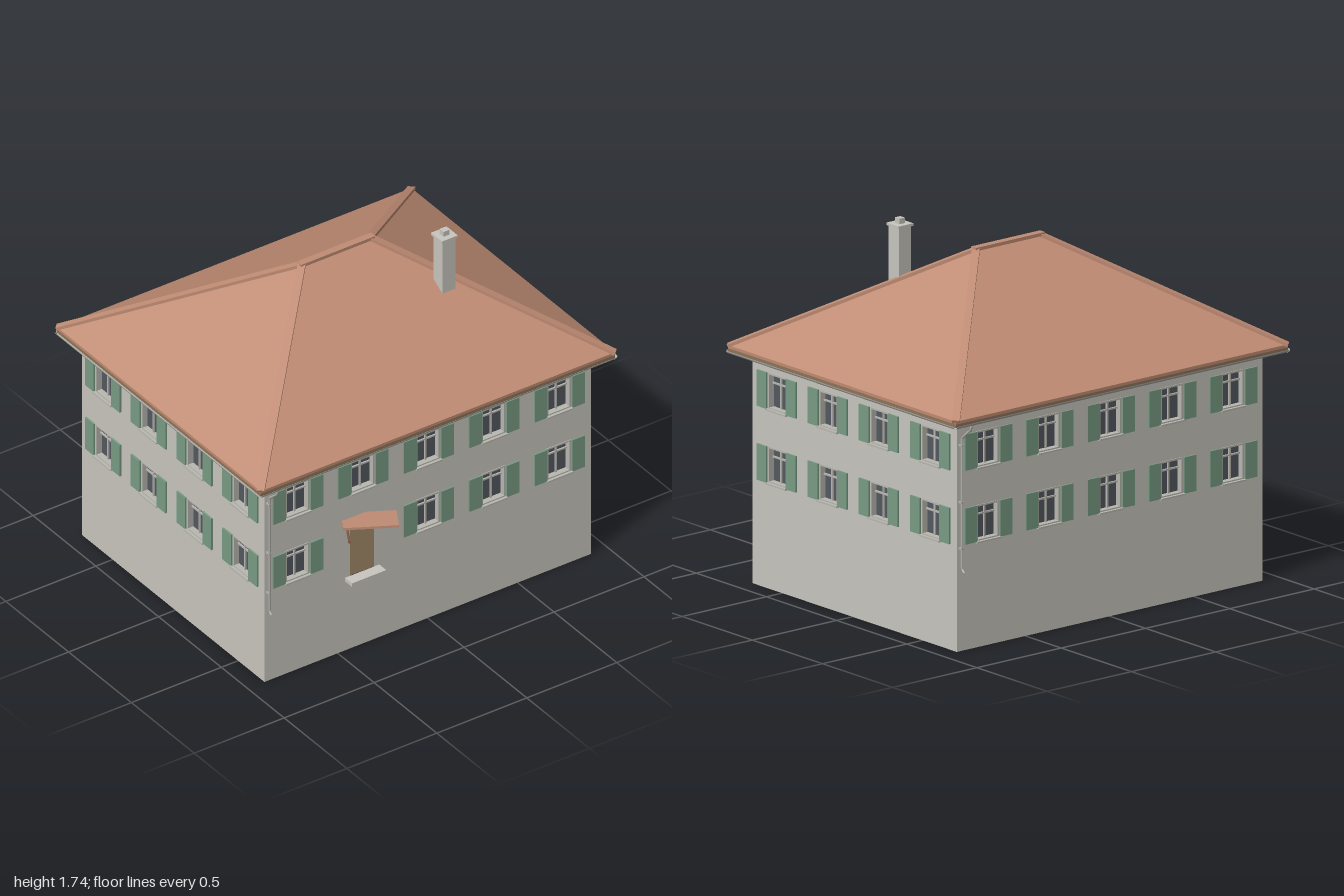
import * as THREE from 'three';

const mat = (name, color, side = THREE.FrontSide) => {
  const m = new THREE.MeshStandardMaterial({ color, side });
  m.name = name;
  return m;
};

export function createModel() {
  const wallMat = mat('plaster', 0xc8c6be, THREE.DoubleSide);
  const roofMat = mat('roof tile', 0xc08c74);
  const woodMat = mat('eave wood', 0x8f7458);
  const shutterMat = mat('green shutter', 0x789c84);
  const glassMat = mat('window glass', 0x525960, THREE.DoubleSide);
  const frameMat = mat('window frame', 0xb9b7b0);
  const doorMat = mat('door wood', 0xa58b68, THREE.DoubleSide);
  const metalMat = mat('gutter metal', 0xb4b2ac, THREE.DoubleSide);
  const bracketMat = mat('bracket wood', 0x7d5443);

  const house = new THREE.Group();
  house.name = 'house';
  const add = (parent, name, geo, material, x = 0, y = 0, z = 0) => {
    const m = new THREE.Mesh(geo, material);
    m.name = name;
    m.position.set(x, y, z);
    parent.add(m);
    return m;
  };
  const box = (parent, name, material, w, h, d, x, y, z) =>
    add(parent, name, new THREE.BoxGeometry(w, h, d), material, x, y, z);
  // square beam between two points, its top kept upwards
  const beam = (parent, name, material, a, b, w, h) => {
    const m = box(parent, name, material, w, h, a.distanceTo(b), 0, 0, 0);
    m.position.copy(a).add(b).multiplyScalar(0.5);
    m.lookAt(b);
    return m;
  };
  const V = (x, y, z) => new THREE.Vector3(x, y, z);
  const rect = (Type, x0, y0, x1, y1) => new Type([
    [x0, y0], [x1, y0], [x1, y1], [x0, y1]].map(p => new THREE.Vector2(...p)));

  const HW = 0.066, HH = 0.086;      // half window opening
  const ROWS = [0.59, 0.941];        // window centre heights
  const XF = 0.907, ZF = 0.71, ZB = -0.745, ZC = (ZF + ZB) / 2;

  // ring frame with a given border
  const ring = (w, h, t, depth) => {
    const s = rect(THREE.Shape, -w, -h, w, h);
    s.holes.push(rect(THREE.Path, -w + t, -h + t, w - t, h - t));
    return new THREE.ExtrudeGeometry(s, { depth, bevelEnabled: false });
  };
  const frameGeo = ring(HW, HH, 0.008, 0.034);

  function addWindow(parent, u, y) {
    const w = new THREE.Group();
    w.name = 'window';
    w.position.set(u, y, 0);
    parent.add(w);
    add(w, 'windowFrame', frameGeo, frameMat, 0, 0, -0.03);
    add(w, 'glass', new THREE.PlaneGeometry(2 * HW - 0.01, 2 * HH - 0.01), glassMat, 0, 0, -0.026);
    box(w, 'mullion', frameMat, 0.009, 2 * HH - 0.012, 0.008, 0, 0, -0.02);
    box(w, 'transom', frameMat, 2 * HW - 0.012, 0.008, 0.008, 0, 0.036, -0.02);
    box(w, 'sill', frameMat, 0.144, 0.008, 0.024, 0, -HH - 0.002, 0.006);
    for (const s of [-1, 1])
      box(w, 'shutter', shutterMat, 0.07, 2 * HH, 0.009, s * 0.104, 0, 0.008);
  }

  // wall sheet with openings; local +z points outwards
  function facade(name, width, columns, door) {
    const f = new THREE.Group();
    f.name = name;
    const s = rect(THREE.Shape, -width / 2, 0, width / 2, 1.15);
    for (const y of ROWS) for (const u of columns) {
      if (door !== undefined && u === door && y === ROWS[0]) continue;
      s.holes.push(rect(THREE.Path, u - HW, y - HH, u + HW, y + HH));
      addWindow(f, u, y);
    }
    if (door !== undefined) s.holes.push(rect(THREE.Path, door - 0.067, 0.4, door + 0.067, 0.668));
    add(f, 'wall', new THREE.ShapeGeometry(s), wallMat);
    house.add(f);
    return f;
  }
  const long = [-0.727, -0.364, 0, 0.364, 0.727], short = [-0.547, -0.182, 0.182, 0.547];
  const front = facade('frontFacade', 2 * XF, long, -0.364);
  front.position.z = ZF;
  const back = facade('backFacade', 2 * XF, long);
  back.position.z = ZB;
  back.rotation.y = Math.PI;
  for (const s of [-1, 1]) {
    const side = facade(s > 0 ? 'leftFacade' : 'rightFacade', ZF - ZB, short);
    side.position.set(s * XF, 0, ZC);
    side.rotation.y = s * Math.PI / 2;
  }

  // entrance: door, step, sloping canopy on two struts
  const entry = new THREE.Group();
  entry.name = 'entrance';
  entry.position.set(-0.364, 0, ZF);
  house.add(entry);
  box(entry, 'door', doorMat, 0.134, 0.268, 0.012, 0, 0.534, -0.008);
  box(entry, 'doorStep', wallMat, 0.19, 0.02, 0.056, 0, 0.39, 0.028);
  beam(entry, 'canopy', roofMat, V(0, 0.732, 0), V(0, 0.696, 0.122), 0.256, 0.012);
  for (const s of [-1, 1])
    beam(entry, 'canopyStrut', bracketMat, V(s * 0.117, 0.663, 0), V(s * 0.117, 0.688, 0.115), 0.01, 0.01);

  // hipped roof layers
  const RX = 0.985, RF = 0.792, RB = -0.832, RZ = -0.02, RR = 0.19;
  function hipSlab(name, material, eave, ridge, thick) {
    const top = [V(-RX, eave, RF), V(RX, eave, RF), V(RX, eave, RB), V(-RX, eave, RB),
      V(-RR, ridge, RZ), V(RR, ridge, RZ)];
    const low = top.map(p => p.clone().setY(p.y - thick));
    const out = [];
    const face = pts => {
      for (let i = 1; i < pts.length - 1; i++)
        for (const p of [pts[0], pts[i], pts[i + 1]]) out.push(p.x, p.y, p.z);
    };
    for (const f of [[0, 1, 5, 4], [1, 2, 5], [2, 3, 4, 5], [3, 0, 4]]) {
      face(f.map(i => top[i]));
      face(f.map(i => low[i]).reverse());
    }
    for (let i = 0; i < 4; i++) {
      const j = (i + 1) % 4;
      face([low[i], low[j], top[j], top[i]]);
    }
    const g = new THREE.BufferGeometry();
    g.setAttribute('position', new THREE.Float32BufferAttribute(out, 3));
    g.computeVertexNormals();
    add(house, name, g, material);
  }
  hipSlab('roofTiles', roofMat, 1.127, 1.618, 0.014);
  hipSlab('eaveBoards', woodMat, 1.113, 1.604, 0.016);

  // hip and ridge caps
  for (const s of [-1, 1]) for (const z of [RF, RB])
    beam(house, 'hipCap', roofMat, V(s * (RX + 0.001), 1.126, z), V(s * RR, 1.618, RZ), 0.036, 0.016);
  box(house, 'ridgeCap', roofMat, 2 * RR + 0.03, 0.016, 0.036, 0, 1.62, RZ);

  // half-round gutters on all four eaves
  const gutter = (len, x, z, turn) => {
    const g = new THREE.CylinderGeometry(0.015, 0.015, len, 8, 1, true, Math.PI, Math.PI);
    g.rotateZ(Math.PI / 2);
    add(house, 'gutter', g, metalMat, x, 1.104, z).rotation.y = turn;
  };
  for (const z of [RF - 0.006, RB + 0.006]) gutter(2 * RX, 0, z, 0);
  for (const s of [-1, 1]) gutter(RF - RB, s * (RX - 0.002), (RF + RB) / 2, Math.PI / 2);

  // downpipes at opposite corners, each with clips
  for (const [x, wall, eave, d] of [[-0.89, ZF, RF, 1], [0.89, ZB, RB, -1]]) {
    const path = new THREE.CurvePath();
    const pts = [V(x, 1.095, eave - d * 0.006), V(x, 1.07, eave - d * 0.006), V(x, 1.015, wall + d * 0.016),
      V(x, 0.395, wall + d * 0.016), V(x, 0.38, wall + d * 0.03)];
    for (let i = 0; i < 4; i++) path.add(new THREE.LineCurve3(pts[i], pts[i + 1]));
    add(house, 'downpipe', new THREE.TubeGeometry(path, 60, 0.006, 8), metalMat);
    for (const y of [0.49, 0.71, 0.98])
      box(house, 'pipeClip', metalMat, 0.016, 0.008, 0.022, x, y, wall + d * 0.011);
  }

  // chimney
  const chimney = new THREE.Group();
  chimney.name = 'chimney';
  chimney.position.set(0.4, 0, 0.27);
  house.add(chimney);
  box(chimney, 'chimneyStack', wallMat, 0.072, 0.32, 0.072, 0, 1.545, 0);
  box(chimney, 'chimneyCap', wallMat, 0.088, 0.012, 0.088, 0, 1.709, 0);
  box(chimney, 'chimneyPot', wallMat, 0.032, 0.026, 0.032, 0, 1.728, 0);

  return house;
}
